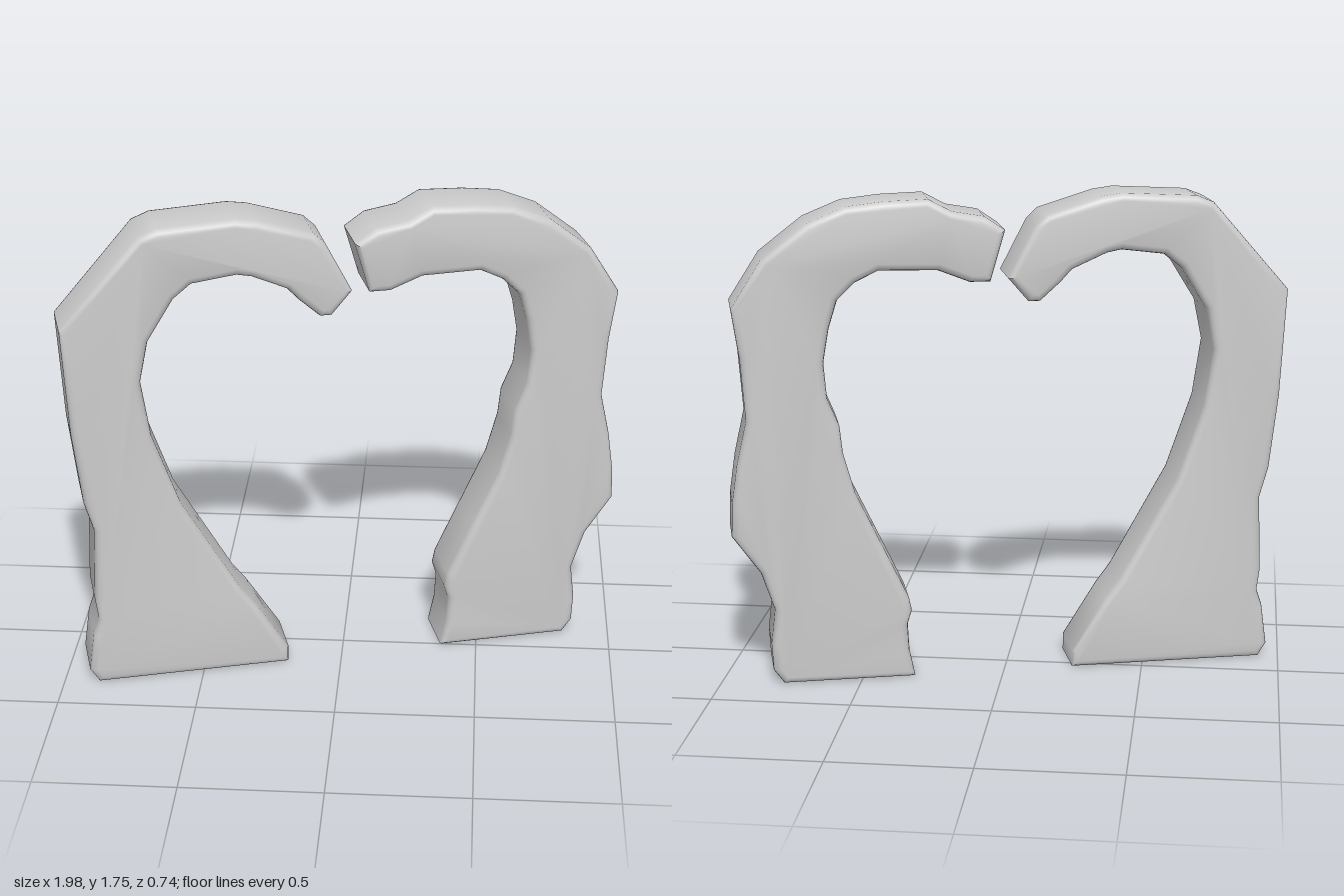
import * as THREE from 'three';
import { toCreasedNormals } from 'three/addons/utils/BufferGeometryUtils.js';

const TURN = 0.27;      // turn of the whole arch about the vertical
const DEPTH = 0.23;     // thickness of each slab
const BEVEL = 0.025;    // worn edge radius

// Slab cut from a closed outline, with rounded edges
function slab(name, outline) {
  const shape = new THREE.Shape(outline.map(([x, y]) => new THREE.Vector2(x / Math.cos(TURN), y)));
  const geometry = new THREE.ExtrudeGeometry(shape, {
    depth: DEPTH - 2 * BEVEL,
    bevelThickness: BEVEL,
    bevelSize: BEVEL,
    bevelOffset: -BEVEL,
    bevelSegments: 3,
  });
  geometry.translate(0, 0, BEVEL - DEPTH / 2);
  const mesh = new THREE.Mesh(
    toCreasedNormals(geometry, 0.7),
    new THREE.MeshStandardMaterial({ color: 0xcccccc })
  );
  mesh.name = name;
  return mesh;
}

// Half with the wide foot: outer side, crown, hooked tip, inner side
const rightOutline = [
  [-0.9, 0], [-0.93, 0.05], [-0.91, 0.2], [-0.89, 0.26], [-0.9, 0.34], [-0.89, 0.62],
  [-0.92, 0.73], [-0.95, 1.0], [-0.97, 1.39], [-0.7, 1.71], [-0.64, 1.735],
  [-0.38, 1.75], [-0.31, 1.74], [-0.12, 1.68], [-0.08, 1.64], [0.01, 1.46],
  [-0.06, 1.375], [-0.1, 1.375], [-0.17, 1.44], [-0.21, 1.485], [-0.33, 1.54],
  [-0.38, 1.55], [-0.53, 1.53], [-0.59, 1.48], [-0.68, 1.33], [-0.71, 1.18],
  [-0.68, 0.97], [-0.59, 0.7], [-0.39, 0.33], [-0.34, 0.26], [-0.22, 0.06], [-0.22, 0],
];

// Half with the narrow foot: inner side, blunt tip, crown, outer side
const leftOutline = [
  [0.34, 0], [0.36, 0.1], [0.365, 0.2], [0.35, 0.25], [0.36, 0.3], [0.45, 0.5],
  [0.54, 0.7], [0.58, 0.85], [0.59, 0.95], [0.63, 1.05], [0.64, 1.18], [0.62, 1.3],
  [0.59, 1.4], [0.53, 1.46], [0.45, 1.5], [0.25, 1.495], [0.14, 1.45], [0.07, 1.45],
  [0.02, 1.63], [0.09, 1.68], [0.2, 1.7], [0.28, 1.745], [0.43, 1.74], [0.56, 1.725],
  [0.69, 1.67], [0.84, 1.55], [0.945, 1.38], [0.92, 1.2], [0.905, 0.98], [0.94, 0.82],
  [0.96, 0.68], [0.965, 0.56], [0.87, 0.42], [0.825, 0.28], [0.84, 0.15], [0.835, 0.05],
  [0.8, 0],
];

export function createModel() {
  const arch = new THREE.Group();
  arch.name = 'brokenArch';
  arch.add(slab('rightArchHalf', rightOutline), slab('leftArchHalf', leftOutline));
  arch.rotation.y = TURN;

  const model = new THREE.Group();
  model.add(arch);
  return model;
}
